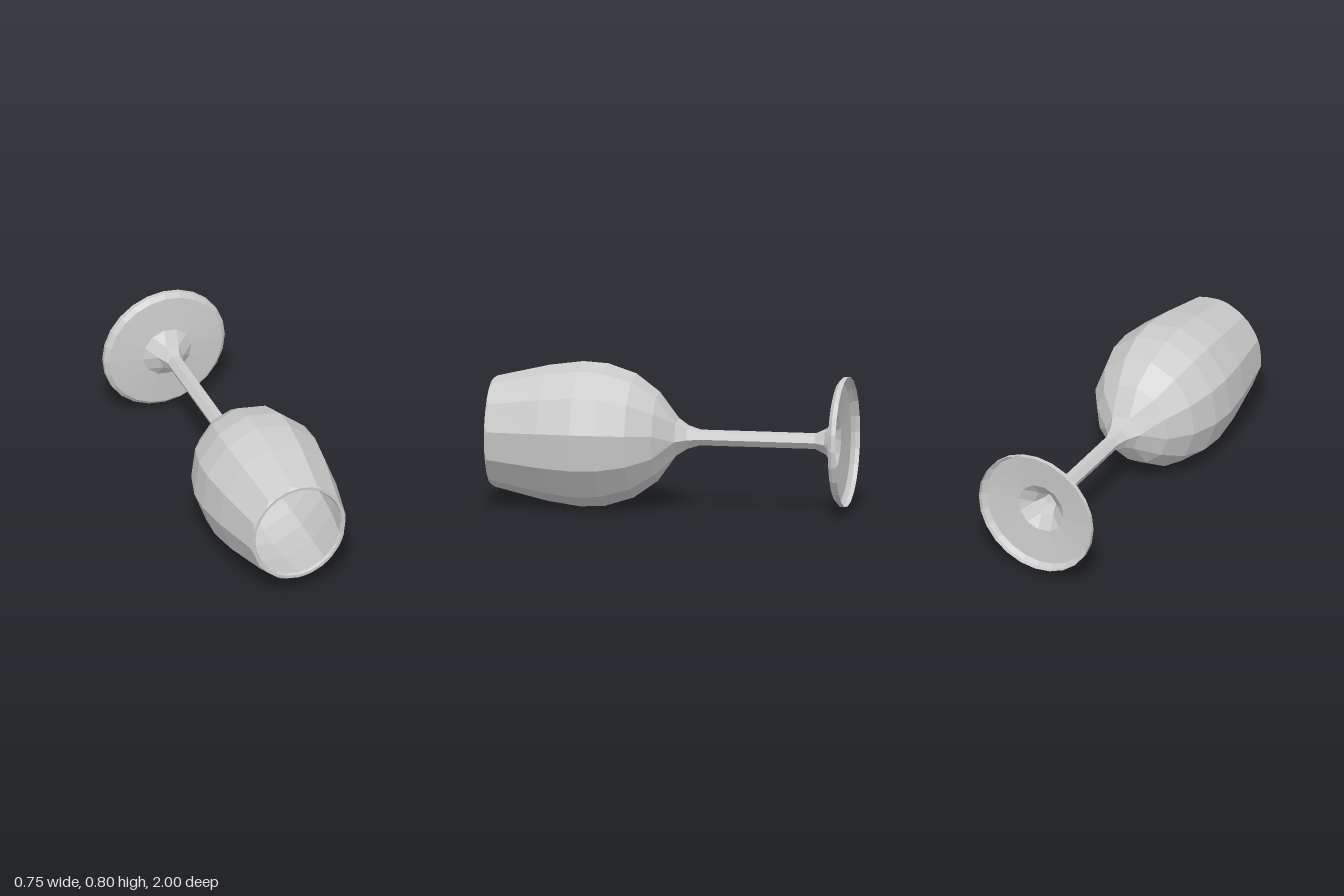
import * as THREE from 'three';

const AXIS_Y = 0.404;
const COLS = 24;

// Point of column j on a ring of 24, 12 or 6 sides; coarser rings merge neighbouring columns
function ringPoint([sides, r, z, sx = 1], j) {
  const share = COLS / sides;
  const deg = 30 + 7.5 * (share - 1) + Math.floor((j % COLS) / share) * (360 / sides);
  const a = THREE.MathUtils.degToRad(deg - (share > 1 ? 0.5 : 0));
  return new THREE.Vector3(r * sx * Math.cos(a), AXIS_Y + r * Math.sin(a), z);
}

// Faceted skin through rings [sides, radius, z, xScale], leaving out collapsed triangles
function loft(name, rings, material) {
  const pos = [];
  const tri = (a, b, c) => {
    if (Math.min(a.distanceTo(b), b.distanceTo(c), c.distanceTo(a)) < 1e-6) return;
    for (const p of [a, b, c]) pos.push(p.x, p.y, p.z);
  };
  for (let i = 0; i < rings.length - 1; i++) {
    for (let j = 0; j < COLS; j++) {
      const a = ringPoint(rings[i], j), b = ringPoint(rings[i], j + 1);
      const c = ringPoint(rings[i + 1], j + 1), d = ringPoint(rings[i + 1], j);
      tri(a, b, c);
      tri(a, c, d);
    }
  }
  const geo = new THREE.BufferGeometry();
  geo.setAttribute('position', new THREE.Float32BufferAttribute(pos, 3));
  geo.computeVertexNormals();
  const mesh = new THREE.Mesh(geo, material);
  mesh.name = name;
  return mesh;
}

export function createModel() {
  const group = new THREE.Group();
  group.name = 'wineGlass';
  const glass = new THREE.MeshStandardMaterial({
    color: 0xcccccc, flatShading: true, side: THREE.DoubleSide,
  });

  // Foot: round disc with a short skirt, hollow underneath
  group.add(loft('foot', [
    [24, 0.362, -1], [24, 0.362, -0.975], [24, 0.338, -0.953],
    [12, 0.145, -0.935], [6, 0.075, -0.88], [6, 0.045, -0.82],
  ], glass));

  // Stem: open six-sided tube
  group.add(loft('stem', [[6, 0.045, -0.82], [6, 0.045, -0.17]], glass));

  // Bowl: flares from six to twelve sides, slightly narrower in x
  group.add(loft('bowl', [
    [6, 0.045, -0.17], [6, 0.067, -0.1], [6, 0.108, -0.04],
    [12, 0.247, 0.065, 0.93], [12, 0.345, 0.2, 0.93], [12, 0.396, 0.36, 0.93],
    [12, 0.404, 0.5, 0.93], [12, 0.378, 0.69, 0.93], [12, 0.309, 0.985, 0.935],
  ], glass));

  // Rim: rounder lip folded inward
  group.add(loft('rim', [
    [12, 0.309, 0.985, 0.935], [24, 0.297, 1, 0.935],
    [24, 0.28, 1, 0.935], [24, 0.273, 0.985, 0.935],
  ], glass));

  return group;
}
